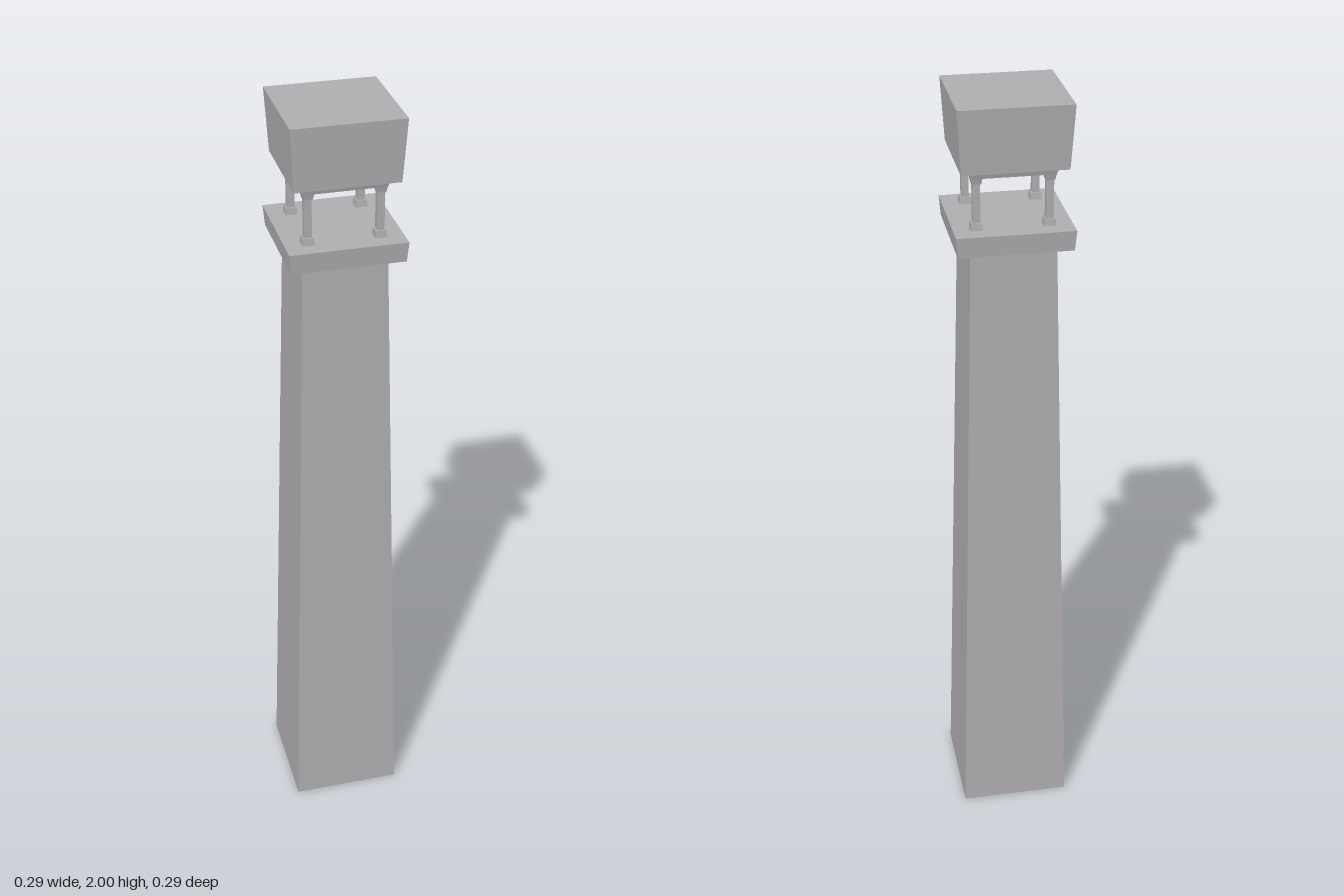
import * as THREE from 'three';

export function createModel() {
  const tower = new THREE.Group();
  tower.name = 'tower';
  const stone = new THREE.MeshStandardMaterial({ color: 0xb0aeb1, side: THREE.DoubleSide, flatShading: true });
  stone.name = 'grey stone';

  // Square tapered block between two heights, given its half widths
  function block(name, y0, y1, half0, half1, open = false, parent = tower) {
    const geo = new THREE.CylinderGeometry(half1 * Math.SQRT2, half0 * Math.SQRT2, y1 - y0, 4, 1, open);
    geo.rotateY(Math.PI / 4);
    geo.translate(0, (y0 + y1) / 2, 0);
    const mesh = new THREE.Mesh(geo, stone);
    mesh.name = name;
    parent.add(mesh);
    return mesh;
  }

  // Hollow shaft, open at the foot
  block('shaft', 0, 1.65, 0.143, 0.104, true);
  block('galleryPlatform', 1.65, 1.70, 0.139, 0.143);

  // Four posts, each with a flared foot and head
  for (const x of [-1, 1]) {
    for (const z of [-1, 1]) {
      const post = new THREE.Group();
      post.name = 'post';
      block('postFoot', 1.70, 1.717, 0.015, 0.013, false, post);
      block('postShaft', 1.717, 1.812, 0.009, 0.009, true, post);
      block('postHead', 1.812, 1.826, 0.011, 0.014, false, post);
      post.position.set(x * 0.087, 0, z * 0.087);
      tower.add(post);
    }
  }

  // Lintel plate and flared cap
  block('lintel', 1.826, 1.845, 0.101, 0.106);
  block('cap', 1.845, 2, 0.127, 0.136);
  return tower;
}
